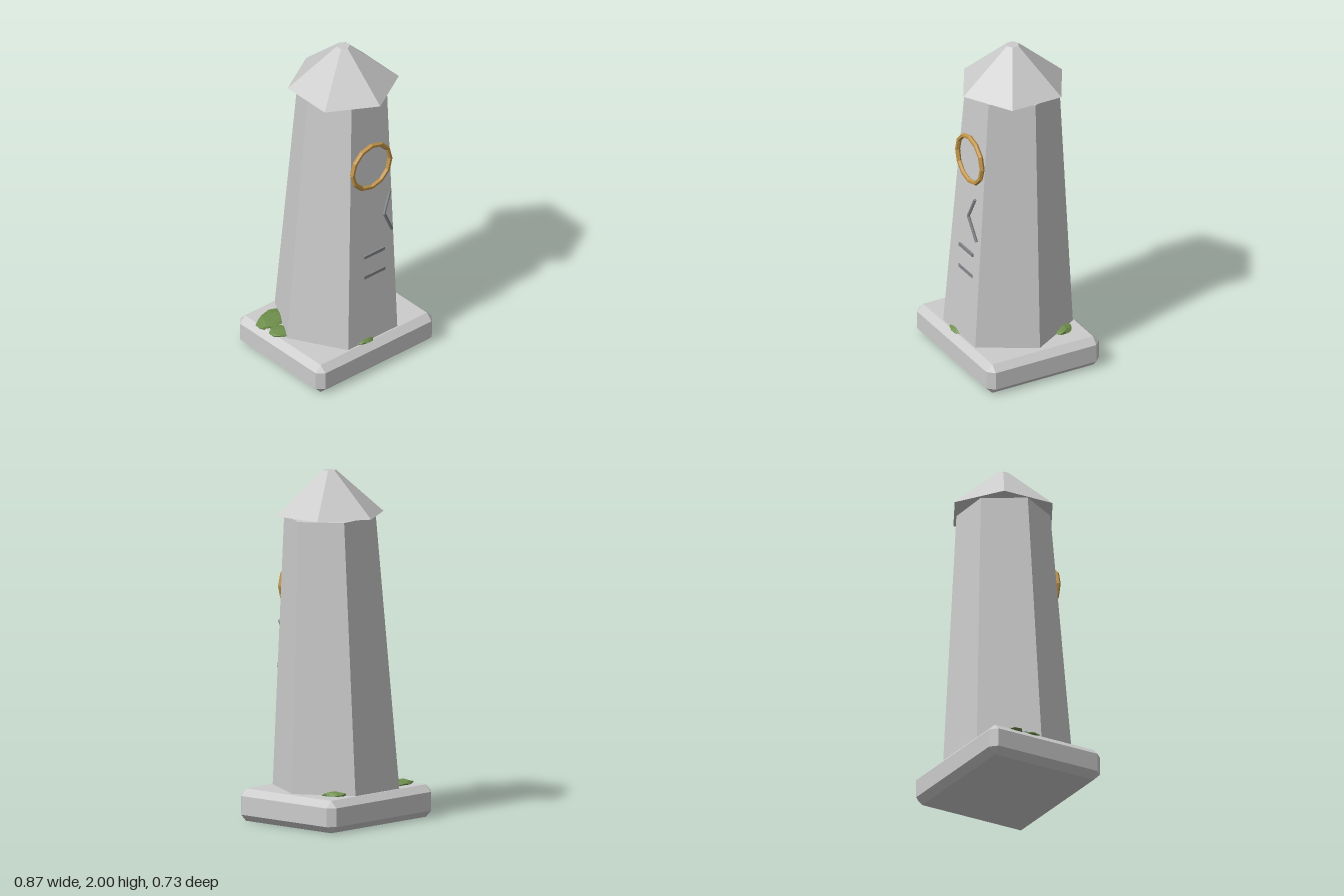
import * as THREE from 'three';
import { ConvexGeometry } from 'three/addons/geometries/ConvexGeometry.js';

const mat = (color) => new THREE.MeshStandardMaterial({ color, flatShading: true });
const stone = mat(0xcccccc);
const gold = mat(0xc2954a);
const carved = mat(0x85888c);
const green = mat(0x6f8f4c);

// Box with every edge cut at 45 degrees
function chamferedBox(w, h, d, c) {
  const points = [];
  for (const sx of [-1, 1]) for (const sy of [-1, 1]) for (const sz of [-1, 1]) {
    const x = w / 2, y = h / 2, z = d / 2;
    points.push(
      new THREE.Vector3(sx * x, sy * (y - c), sz * (z - c)),
      new THREE.Vector3(sx * (x - c), sy * y, sz * (z - c)),
      new THREE.Vector3(sx * (x - c), sy * (y - c), sz * z));
  }
  return new ConvexGeometry(points);
}

// Thin round bar between two points
function rod(a, b, radius) {
  const from = new THREE.Vector3(...a), to = new THREE.Vector3(...b);
  const dir = to.clone().sub(from);
  const geo = new THREE.CylinderGeometry(radius, radius, dir.length(), 6);
  geo.applyQuaternion(new THREE.Quaternion().setFromUnitVectors(
    new THREE.Vector3(0, 1, 0), dir.normalize()));
  const mid = from.add(to).multiplyScalar(0.5);
  return geo.translate(mid.x, mid.y, mid.z);
}

// Flattened lumpy blob
function mossBlob(rx, ry, rz, phase) {
  const geo = new THREE.IcosahedronGeometry(1, 1);
  const p = geo.attributes.position;
  for (let i = 0; i < p.count; i++) {
    const x = p.getX(i), y = p.getY(i), z = p.getZ(i);
    const k = 0.95 + 0.1 * Math.sin(4 * x + 3 * z + 5 * y + phase);
    p.setXYZ(i, x * k * rx, y * k * ry, z * k * rz);
  }
  geo.computeVertexNormals();
  return geo;
}

export function createModel() {
  const group = new THREE.Group();
  const add = (name, geo, material, x = 0, y = 0, z = 0) => {
    const mesh = new THREE.Mesh(geo, material);
    mesh.name = name;
    mesh.position.set(x, y, z);
    group.add(mesh);
    return mesh;
  };

  // Plinth
  add('plinth', chamferedBox(0.87, 0.185, 0.73, 0.039), stone, 0, 0.0925, 0);

  // Tapered six-sided shaft that leans towards +x
  const bottom = 0.18, height = 1.56;
  const shaft = new THREE.CylinderGeometry(0.265, 0.366, height, 6);
  shaft.rotateY(Math.PI / 6);
  const p = shaft.attributes.position;
  for (let i = 0; i < p.count; i++) {
    const t = p.getY(i) / height + 0.5;
    p.setXYZ(i, p.getX(i) + 0.05 * t, p.getY(i) - 0.03 * t * p.getX(i), p.getZ(i));
  }
  shaft.computeVertexNormals();
  add('shaft', shaft, stone, 0, bottom + height / 2, 0);

  // Six-sided roof with a small flat tip
  add('roof', new THREE.CylinderGeometry(0.038, 0.319, 0.25, 6), stone, 0.054, 1.875, 0);

  // Gold ring on the front face
  add('ring', new THREE.TorusGeometry(0.14, 0.0145, 6, 12), gold, 0.033, 1.32, 0.266);

  // Carved marks: an angled pair and two level bars
  const bend = [0.092, 0.995, 0.309];
  add('upperMark', rod([0.146, 1.12, 0.297], bend, 0.009), carved);
  add('lowerMark', rod(bend, [0.16, 0.853, 0.295], 0.009), carved);
  for (const [y, z] of [[0.74, 0.286], [0.605, 0.288]]) {
    add('barMark', new THREE.BoxGeometry(0.155, 0.02, 0.018), carved, 0.033, y, z);
  }

  // Moss patches: x, z, half sizes, turn
  const patches = [
    [-0.31, -0.195, 0.115, 0.02, 0.075, 0.25],
    [-0.355, -0.075, 0.062, 0.015, 0.065, 0.5],
    [0.24, -0.215, 0.075, 0.021, 0.055, -0.7],
    [-0.05, 0.3, 0.07, 0.021, 0.038, 0],
  ];
  patches.forEach(([x, z, rx, ry, rz, turn], i) => {
    add('moss', mossBlob(rx, ry, rz, i * 1.7), green, x, 0.188, z).rotation.y = turn;
  });

  return group;
}
